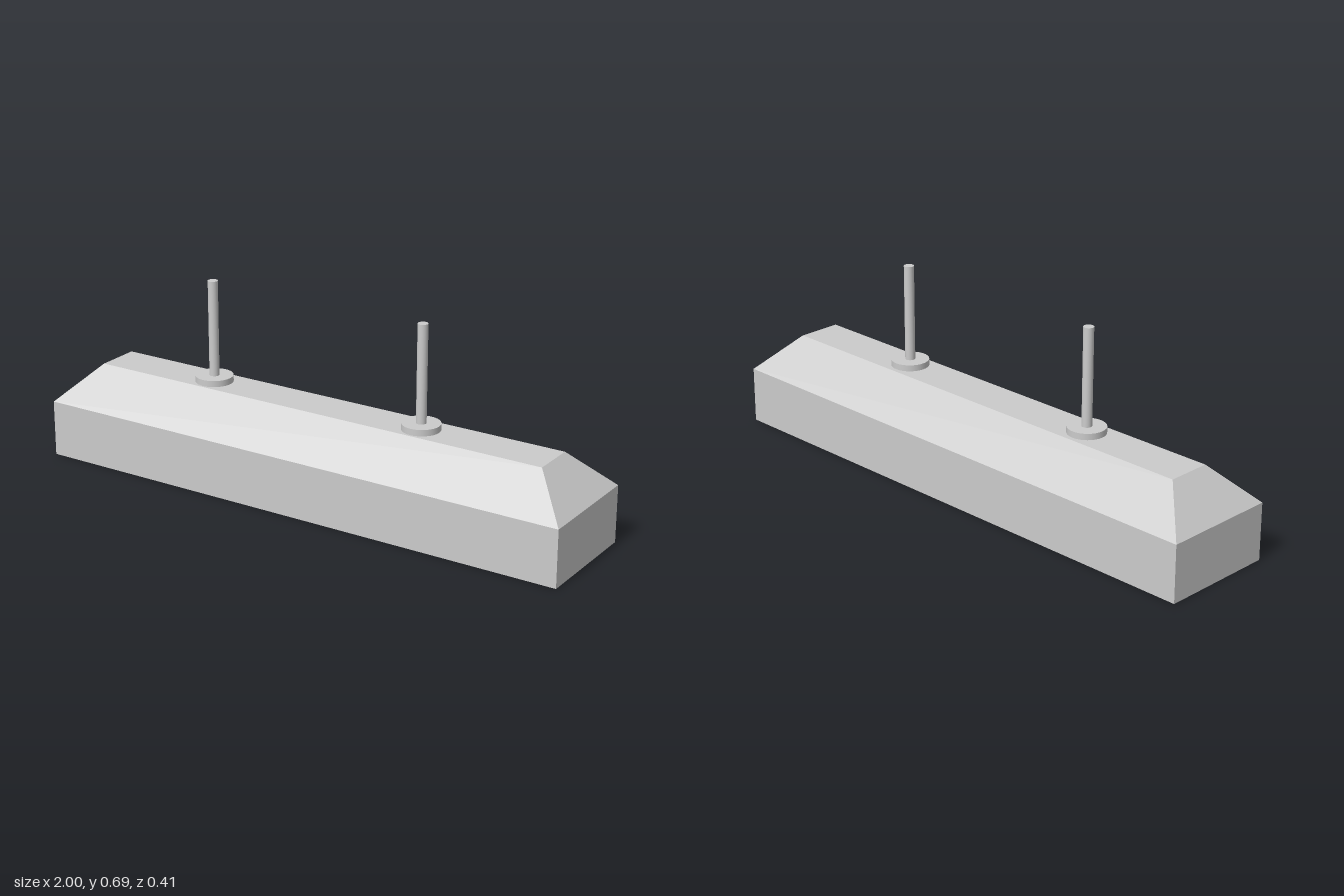
import * as THREE from 'three';

const grey = new THREE.MeshStandardMaterial({ color: 0xcccccc });
const shell = new THREE.MeshStandardMaterial({ color: 0xcccccc, side: THREE.DoubleSide, flatShading: true });

function add(parent, name, geometry, material, x = 0, y = 0, z = 0) {
  const mesh = new THREE.Mesh(geometry, material);
  mesh.name = name;
  mesh.position.set(x, y, z);
  parent.add(mesh);
  return mesh;
}

// Open-bottomed shell: rectangular sections [halfX, y, halfZ] joined from the rim up, closed on top
function hoodGeometry(sections) {
  const positions = [];
  const corners = ([w, y, d]) => [[-w, y, d], [w, y, d], [w, y, -d], [-w, y, -d]];
  const quad = (a, b, c, d) => positions.push(...a, ...b, ...c, ...a, ...c, ...d);
  const rings = sections.map(corners);
  for (let i = 0; i < rings.length - 1; i++) {
    for (let k = 0; k < 4; k++) {
      const n = (k + 1) % 4;
      quad(rings[i][k], rings[i][n], rings[i + 1][n], rings[i + 1][k]);
    }
  }
  quad(...rings[rings.length - 1]);
  const geometry = new THREE.BufferGeometry();
  geometry.setAttribute('position', new THREE.Float32BufferAttribute(positions, 3));
  geometry.computeVertexNormals();
  return geometry;
}

export function createModel() {
  const model = new THREE.Group();
  model.name = 'hangingTubeLight';

  // Box-shaped hood with bevelled top
  add(model, 'hood', hoodGeometry([[1, 0, 0.207], [1, 0.2, 0.207], [0.87, 0.33, 0.078]]), shell);

  // Three fluorescent tubes running the length of the hood
  const tubeGeometry = new THREE.CylinderGeometry(0.055, 0.055, 1.99, 32).rotateZ(Math.PI / 2);
  for (const z of [-0.13, 0, 0.13]) add(model, 'lightTube', tubeGeometry, grey, 0, 0.065, z);

  // Two hanging rods on round mounting plates
  for (const x of [-0.44, 0.39]) {
    const hanger = new THREE.Group();
    hanger.name = 'hanger';
    hanger.position.set(x, 0, 0.004);
    add(hanger, 'mountingPlate', new THREE.CylinderGeometry(0.066, 0.066, 0.024, 32), grey, 0, 0.34, 0);
    add(hanger, 'hangingRod', new THREE.CylinderGeometry(0.0175, 0.0175, 0.34, 24), grey, 0, 0.522, 0);
    model.add(hanger);
  }
  return model;
}
